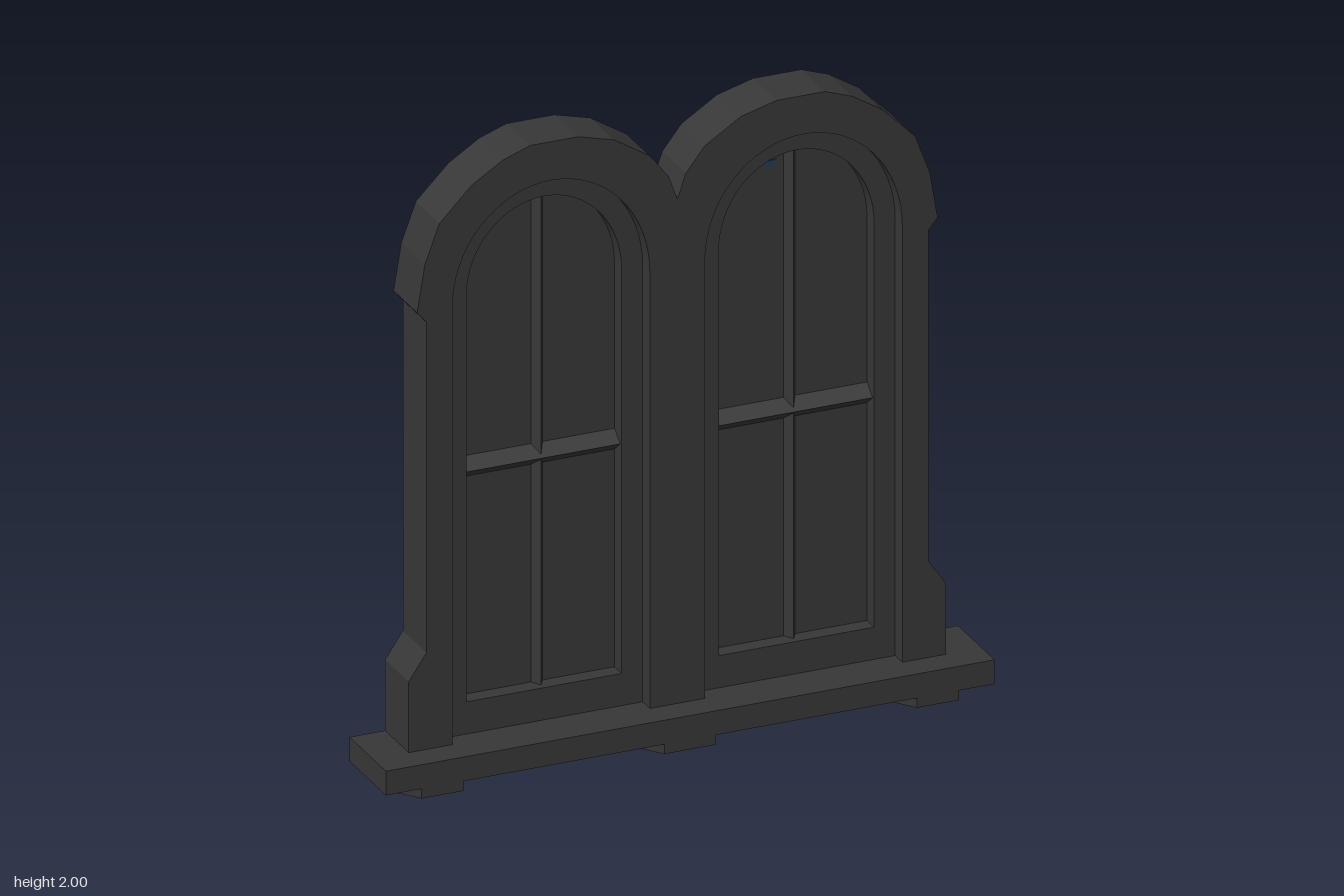
import * as THREE from 'three';

const stone = new THREE.MeshStandardMaterial({ color: 0x373737 });
stone.name = 'darkStone';
const blue = new THREE.MeshStandardMaterial({ color: 0x213a5e });
blue.name = 'navyGlass';

const BACK = -0.125, PANEL = -0.06, FRAME = -0.01, FRONT = 0.04;
const CX = 0.39; // centre of each window

// Right half of the outer outline, from the bottom up to the valley between arches
const half = [
  [0.83, 0.15], [0.83, 0.405], [0.775, 0.485], [0.775, 1.51], [0.804, 1.545],
  [0.78, 1.69], [0.735, 1.81], [0.635, 1.91], [0.54, 1.97], [0.455, 2.0],
  [0.307, 2.0], [0.196, 1.97], [0.085, 1.9], [0.026, 1.825], [0, 1.75],
];

function outline() {
  const left = half.slice(0, -1).reverse().map(([x, y]) => [-x, y]);
  return new THREE.Shape([...half, ...left].map(([x, y]) => new THREE.Vector2(x, y)));
}

// Round-headed opening
function arch(Type, cx, rx, ry, bottom) {
  const s = new Type();
  s.moveTo(cx - rx, bottom);
  s.lineTo(cx + rx, bottom);
  s.lineTo(cx + rx, 1.54);
  s.absellipse(cx, 1.54, rx, ry, 0, Math.PI, false);
  s.closePath();
  return s;
}

function slab(shape, z0, z1) {
  const g = new THREE.ExtrudeGeometry(shape, { depth: z1 - z0, bevelEnabled: false, curveSegments: 16 });
  return g.translate(0, 0, z0);
}

export function createModel() {
  const group = new THREE.Group();
  const add = (name, geometry, material = stone) => {
    const m = new THREE.Mesh(geometry, material);
    m.name = name;
    group.add(m);
    return m;
  };

  // Solid back and the surround with two arched openings
  add('backPanel', slab(outline(), BACK, PANEL));
  const surround = outline();
  for (const s of [-1, 1]) surround.holes.push(arch(THREE.Path, s * CX, 0.305, 0.34, 0.17));
  add('surround', slab(surround, PANEL, FRONT));

  for (const s of [-1, 1]) {
    const side = s > 0 ? 'left' : 'right';
    // Recessed window frame
    const frame = arch(THREE.Shape, s * CX, 0.305, 0.34, 0.17);
    frame.holes.push(arch(THREE.Path, s * CX, 0.24, 0.27, 0.285));
    add(side + 'WindowFrame', slab(frame, PANEL, FRAME));

    // Ridged glazing bars
    const upright = new THREE.CylinderGeometry(1, 1, 1.52, 4).toNonIndexed();
    upright.scale(0.018, 1, 0.03).translate(s * CX, 1.045, PANEL);
    upright.computeVertexNormals();
    add(side + 'UprightBar', upright);
    const cross = new THREE.CylinderGeometry(1, 1, 0.48, 4).toNonIndexed();
    cross.rotateZ(Math.PI / 2).scale(1, 0.032, 0.04).translate(s * CX, 0.993, PANEL);
    cross.computeVertexNormals();
    add(side + 'CrossBar', cross);

    // Blue pane showing on the back of each arch head
    const pane = new THREE.Shape([
      [0.175, 1.56], [0.19, 1.51], [0.29, 1.49], [0.41, 1.5], [0.54, 1.53], [0.585, 1.575],
      [0.55, 1.65], [0.48, 1.69], [0.39, 1.71], [0.29, 1.7], [0.22, 1.66],
    ].map(([x, y]) => new THREE.Vector2(s * x, y)));
    add(side + 'BackPane', slab(pane, BACK - 0.003, BACK + 0.002), blue);
  }

  // Small sliver of blue at the head of one window
  const sliver = new THREE.Shape([[0.29, 1.765], [0.33, 1.745], [0.35, 1.77]].map(([x, y]) => new THREE.Vector2(x, y)));
  add('frontPaneSliver', slab(sliver, PANEL - 0.002, PANEL + 0.003), blue);

  // Sill
  add('sill', new THREE.BoxGeometry(1.88, 0.075, 0.255).translate(0, 0.1475, 0.0025));

  // Sloped brackets below the sill
  const profile = new THREE.Shape([[BACK, 0], [0.13, 0.08], [0.13, 0.112], [BACK, 0.112]]
    .map(([z, y]) => new THREE.Vector2(z, y)));
  for (const [x, w] of [[-0.765, 0.13], [0, 0.16], [0.765, 0.13]]) {
    const g = new THREE.ExtrudeGeometry(profile, { depth: w, bevelEnabled: false });
    add('bracket', g.rotateY(-Math.PI / 2).translate(x + w / 2, 0, 0));
  }
  return group;
}
